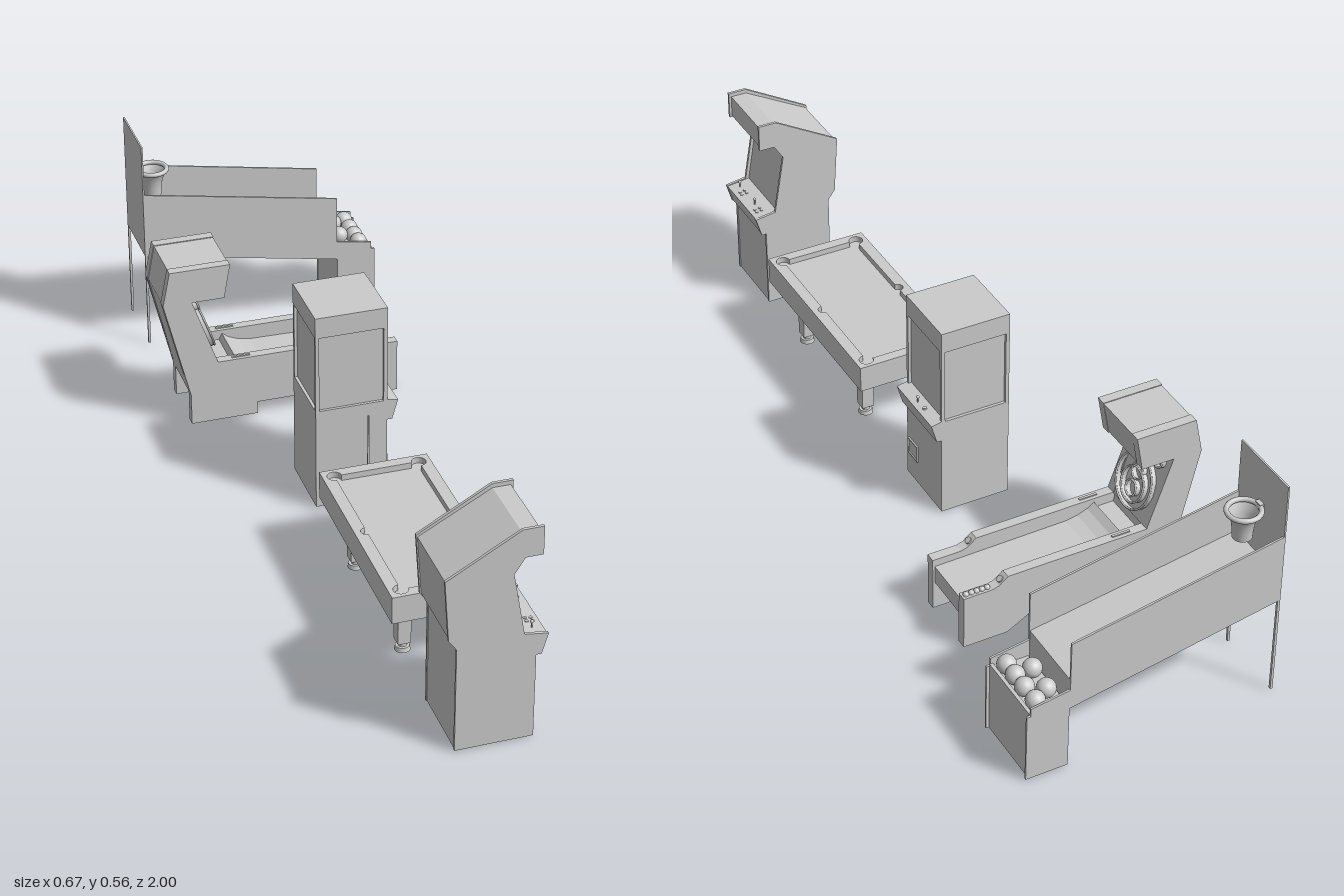
import * as THREE from 'three';

const mat = new THREE.MeshStandardMaterial({ color: 0xcccccc, side: THREE.DoubleSide });

function add(parent, name, geometry, x = 0, y = 0, z = 0) {
  const mesh = new THREE.Mesh(geometry, mat);
  mesh.name = name;
  mesh.position.set(x, y, z);
  parent.add(mesh);
  return mesh;
}
// Box given by its limits on each axis
function box(parent, name, [x0, x1], [y0, y1], [z0, z1]) {
  return add(parent, name, new THREE.BoxGeometry(x1 - x0, y1 - y0, z1 - z0),
    (x0 + x1) / 2, (y0 + y1) / 2, (z0 + z1) / 2);
}
// Side profile (x, y points) extruded from z0 to z1
function slab(parent, name, points, z0, z1) {
  const shape = new THREE.Shape(points.map(p => new THREE.Vector2(...p)));
  return add(parent, name, new THREE.ExtrudeGeometry(shape, { depth: z1 - z0, bevelEnabled: false }), 0, 0, z0);
}
// The same profile as two thin panels at both ends of a z range
function sidePanels(parent, name, points, z0, z1, t) {
  slab(parent, name, points, z0, z0 + t);
  slab(parent, name, points, z1 - t, z1);
}
const ball = (parent, name, r, x, y, z) => add(parent, name, new THREE.SphereGeometry(r, 20, 14), x, y, z);
const rod = (parent, name, r0, r1, h, x, y, z) =>
  add(parent, name, new THREE.CylinderGeometry(r1, r0, h, 20), x, y + h / 2, z);
function group(root, name) {
  const g = new THREE.Group();
  g.name = name;
  root.add(g);
  return g;
}
function joystick(parent, x, y, z) {
  rod(parent, 'joystickShaft', 0.0015, 0.0015, 0.016, x, y, z);
  ball(parent, 'joystickKnob', 0.004, x, y + 0.016, z);
}

function videoCabinet(root) {
  const g = group(root, 'videoCabinet'), z0 = 0.815, z1 = 1;
  sidePanels(g, 'sidePanel', [[-0.094, 0.003], [0.08, 0.003], [0.08, 0.21], [0.092, 0.21], [0.106, 0.259],
    [0.053, 0.267], [0.026, 0.42], [0.049, 0.457], [0.088, 0.457], [0.088, 0.525], [0.042, 0.525],
    [-0.122, 0.432], [-0.112, 0.285], [-0.094, 0.26]], z0, z1, 0.007);
  slab(g, 'cabinetBody', [[-0.092, 0.003], [0.078, 0.003], [0.078, 0.212], [0.091, 0.212], [0.104, 0.257],
    [0.045, 0.265], [0.018, 0.42], [0.046, 0.46], [0.082, 0.46], [0.082, 0.515], [0.042, 0.515],
    [-0.119, 0.427], [-0.109, 0.285], [-0.092, 0.26]], z0 + 0.007, z1 - 0.007);
  // Controls for two players
  for (const z of [0.86, 0.95]) {
    joystick(g, 0.079, 0.259, z + 0.022);
    for (let i = 0; i < 4; i++)
      rod(g, 'button', 0.004, 0.004, 0.004, 0.076 + 0.013 * (i % 2), 0.259 - 0.002 * (i % 2), z - 0.012 * (i >> 1));
  }
}

function poolTable(root) {
  const g = group(root, 'poolTable');
  g.position.set(-0.008, 0, 0.458);
  const w = 0.128, l = 0.258, a = 0.1, b = 0.232, r = 0.017, P = Math.PI;
  box(g, 'bed', [-w, w], [0.14, 0.192], [-l, l]);
  // Rail with the pockets cut into its inner outline
  const rail = new THREE.Shape([[-w, -l], [w, -l], [w, l], [-w, l]].map(p => new THREE.Vector2(...p)));
  const hole = new THREE.Path();
  hole.absarc(a, 0, r * 0.8, -P / 2, P / 2);
  hole.absarc(a, b, r, -P / 2, P);
  hole.absarc(-a, b, r, 0, 1.5 * P);
  hole.absarc(-a, 0, r * 0.8, P / 2, 1.5 * P);
  hole.absarc(-a, -b, r, P / 2, 2 * P);
  hole.absarc(a, -b, r, -P, P / 2);
  rail.holes.push(hole);
  const geo = new THREE.ExtrudeGeometry(rail, { depth: 0.016, bevelEnabled: false });
  add(g, 'rail', geo.rotateX(-P / 2), 0, 0.191, 0);
  box(g, 'apron', [-0.082, 0.082], [0.087, 0.142], [-0.172, 0.172]);
  for (const x of [-0.072, 0.072]) for (const z of [-0.165, 0.165]) {
    box(g, 'leg', [x - 0.015, x + 0.015], [0.022, 0.142], [z - 0.015, z + 0.015]);
    rod(g, 'legCollar', 0.01, 0.01, 0.014, x, 0.01, z);
    rod(g, 'foot', 0.018, 0.016, 0.011, x, 0, z);
  }
}

function clawMachine(root) {
  const g = group(root, 'clawMachine'), z0 = -0.137, z1 = 0.037;
  box(g, 'base', [-0.093, 0.08], [0.003, 0.262], [z0, z1]);
  slab(g, 'controlPanel', [[0.075, 0.21], [0.092, 0.21], [0.106, 0.259], [0.07, 0.266]], z0, z1);
  box(g, 'glassCase', [-0.086, 0.073], [0.26, 0.457], [z0 + 0.007, z1 - 0.007]);
  for (const x of [-0.093, 0.071]) for (const z of [z0, z1 - 0.009])
    box(g, 'cornerPost', [x, x + 0.009], [0.26, 0.457], [z, z + 0.009]);
  box(g, 'topBox', [-0.093, 0.08], [0.455, 0.507], [z0, z1]);
  // Prize door with a raised frame
  box(g, 'prizeDoor', [0.079, 0.081], [0.068, 0.107], [-0.017, 0.025]);
  for (const y of [0.066, 0.107]) box(g, 'doorFrame', [0.079, 0.084], [y, y + 0.003], [-0.02, 0.028]);
  for (const z of [-0.02, 0.025]) box(g, 'doorFrame', [0.079, 0.084], [0.066, 0.11], [z, z + 0.003]);
  joystick(g, 0.092, 0.26, -0.042);
  rod(g, 'button', 0.005, 0.005, 0.006, 0.09, 0.26, -0.073);
}

function ballRoller(root) {
  const g = group(root, 'ballRollerGame'), z0 = -0.578, z1 = -0.407, zc = (z0 + z1) / 2, t = 0.024;
  sidePanels(g, 'sidePanel', [[-0.272, 0.003], [-0.105, 0.003], [-0.105, 0.035], [0.095, 0.035], [0.147, 0.005],
    [0.255, 0.005], [0.255, 0.142], [0.185, 0.142], [0.168, 0.147], [0.147, 0.165], [-0.202, 0.165],
    [-0.263, 0.34], [-0.183, 0.34], [-0.167, 0.428], [-0.316, 0.428], [-0.334, 0.34], [-0.272, 0.083]], z0, z1, t);
  // Head, target board and back between the side panels
  slab(g, 'head', [[-0.272, 0.083], [-0.19, 0.083], [-0.207, 0.16], [-0.268, 0.335], [-0.184, 0.343], [-0.168, 0.426],
    [-0.315, 0.426], [-0.332, 0.34]], z0 + t, z1 - t);
  slab(g, 'targetBoard', [[-0.208, 0.16], [-0.203, 0.162], [-0.264, 0.34], [-0.27, 0.338]], z0 + 0.005, z1 - 0.005);
  // Lane that curls up into a jump
  slab(g, 'lane', [[-0.24, 0.078], [0.25, 0.078], [0.25, 0.123], [-0.08, 0.128], [-0.11, 0.133], [-0.135, 0.143],
    [-0.152, 0.156], [-0.16, 0.14], [-0.24, 0.14]], z0 + t, z1 - t);
  // Score rings lie in the plane of the sloping board
  const target = group(g, 'scoreRings');
  target.position.set(-0.234, 0.253, zc);
  target.rotation.set(0, Math.PI / 2, 0);
  const tilted = group(target, 'tiltedRings');
  tilted.rotation.x = -Math.atan2(0.061, 0.175);
  const ring = (r, x, y) => {
    const wall = new THREE.CylinderGeometry(r, r, 0.014, 32, 1, true).rotateX(Math.PI / 2);
    add(tilted, 'ringWall', wall, x, y, 0.006);
    add(tilted, 'ringLip', new THREE.TorusGeometry(r, 0.0025, 8, 32), x, y, 0.013);
  };
  ring(0.066, 0, -0.02);
  ring(0.042, 0, -0.03);
  for (const y of [-0.04, 0.005, 0.052]) ring(0.019, 0, y);
  for (const x of [-0.054, 0.054]) ring(0.014, x, 0.065);
  // Waiting balls on one rail, a button on each
  for (let i = 0; i < 5; i++) ball(g, 'waitingBall', 0.007, 0.192 + i * 0.013, 0.143, z0 + 0.012);
  for (const z of [z0 + 0.012, z1 - 0.012]) {
    const button = rod(g, 'railButton', 0.008, 0.008, 0.006, 0.16, 0.151, z);
    button.rotation.z = -0.7;
    box(g, 'railTrim', [-0.165, -0.12], [0.164, 0.168], [z - 0.003, z + 0.003]);
  }
}

function hoopGame(root) {
  const g = group(root, 'hoopGame'), z0 = -1, z1 = -0.82, zc = -0.91, t = 0.005;
  sidePanels(g, 'sideWall', [[-0.272, 0.253], [0.232, 0.161], [0.232, 0.003], [0.332, 0.003], [0.332, 0.177],
    [0.323, 0.177], [0.323, 0.197], [0.231, 0.211], [0.231, 0.336], [-0.272, 0.425]], z0, z1, t);
  slab(g, 'sloping floor', [[-0.272, 0.255], [0.23, 0.163], [0.23, 0.236], [-0.272, 0.317]], z0 + t, z1 - t);
  box(g, 'ballBin', [0.233, 0.325], [0.003, 0.168], [z0 + t, z1 - t]);
  box(g, 'binLip', [0.317, 0.325], [0.16, 0.182], [z0 + t, z1 - t]);
  box(g, 'backboard', [-0.274, -0.27], [0.253, 0.557], [z0, z1]);
  for (const z of [z0, z1 - 0.006]) box(g, 'rearLeg', [-0.274, -0.268], [0.003, 0.256], [z, z + 0.006]);
  // Hoop with net
  const net = [[0.022, 0.38], [0.023, 0.4], [0.026, 0.42], [0.031, 0.435], [0.038, 0.448]];
  add(g, 'net', new THREE.LatheGeometry(net.map(p => new THREE.Vector2(...p)), 32), -0.227, 0, zc);
  add(g, 'rim', new THREE.TorusGeometry(0.037, 0.006, 12, 40).rotateX(Math.PI / 2), -0.227, 0.449, zc);
  box(g, 'rimBracket', [-0.271, -0.26], [0.44, 0.456], [zc - 0.01, zc + 0.01]);
  // Balls in the bin
  const balls = [[0.262, -0.954], [0.297, -0.971], [0.297, -0.925], [0.258, -0.887], [0.297, -0.885], [0.297, -0.848]];
  for (const [x, z] of balls) ball(g, 'gameBall', 0.022, x, x < 0.28 ? 0.194 : 0.189, z);
}

export function createModel() {
  const root = new THREE.Group();
  root.name = 'arcadeRoom';
  videoCabinet(root);
  poolTable(root);
  rod(root, 'cueStick', 0.004, 0.0018, 0.31, -0.007, 0, 0.162);
  clawMachine(root);
  ballRoller(root);
  hoopGame(root);
  return root;
}
